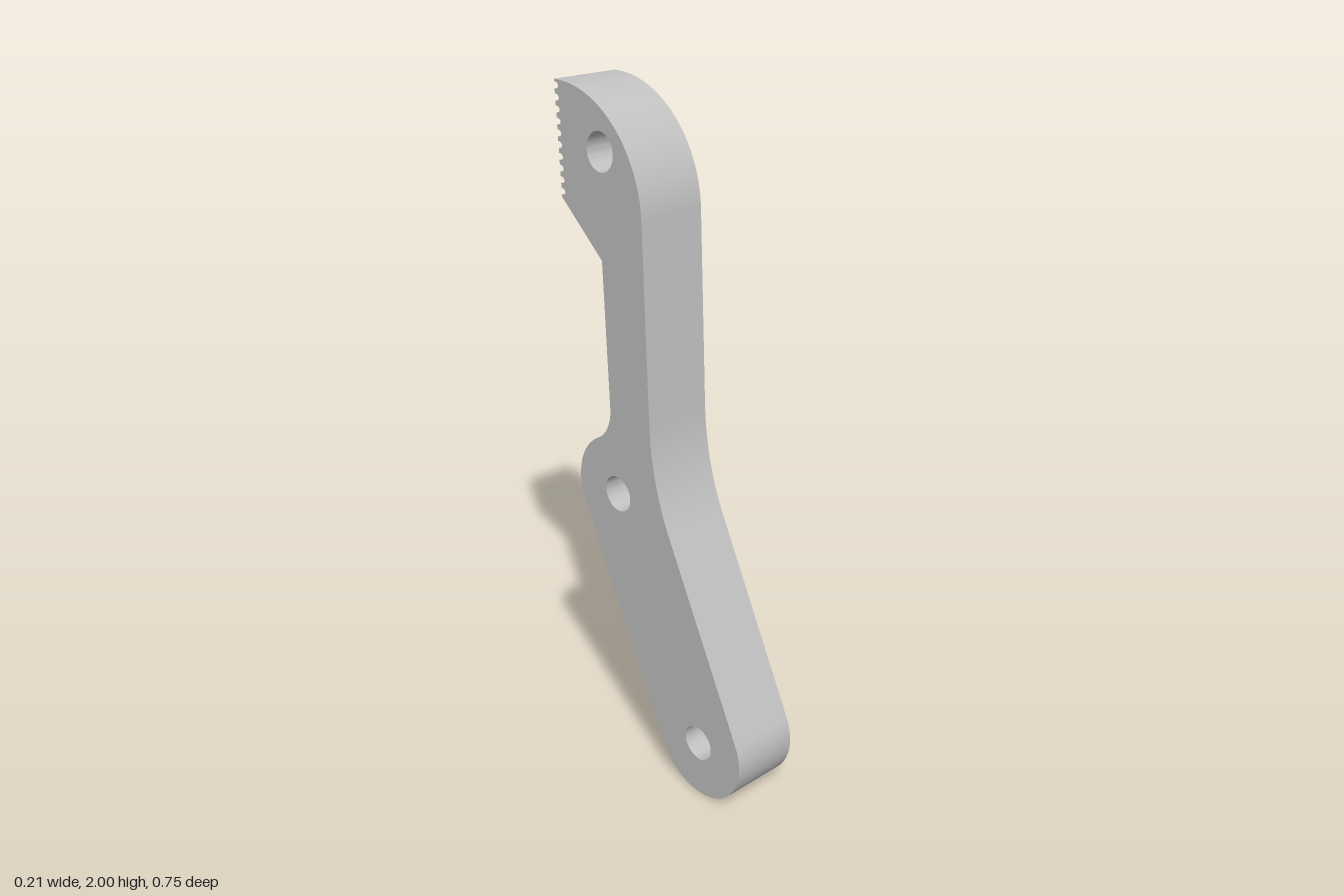
import * as THREE from 'three';
import { toCreasedNormals } from 'three/addons/utils/BufferGeometryUtils.js';

const WIDTH = 0.208;
const rad = THREE.MathUtils.degToRad;

// Side outline: horizontal axis runs towards the back (-z), vertical axis is y
function leverOutline() {
  const s = new THREE.Shape();

  // rounded foot, pivot boss and the fillet above the boss
  s.absarc(-0.203, 0.172, 0.172, rad(153.2), rad(333.2), false);
  s.absarc(0.143, 0.86, 0.172, rad(-26.8), rad(60), false);
  s.absarc(0.288, 1.111, 0.118, rad(240), rad(178), true);

  // neck and underside of the head
  s.lineTo(0.191, 1.544);
  s.lineTo(0.358, 1.687);

  // serrated jaw: round grooves between narrow crests
  const grooves = 10;
  const low = new THREE.Vector2(0.358, 1.687);
  const high = new THREE.Vector2(0.375, 2.0);
  const at = (t) => low.clone().lerp(high, t);
  for (let i = 0; i < grooves; i++) {
    const a = at((i + 0.2) / grooves);
    const m = at((i + 0.5) / grooves);
    const b = at((i + 0.8) / grooves);
    s.lineTo(a.x, a.y);
    s.bezierCurveTo(m.x - 0.021, a.y, m.x - 0.021, b.y, b.x, b.y);
  }
  s.lineTo(high.x, high.y);

  // domed head, straight front and the bend into the lower arm
  s.absarc(0.355, 1.67, 0.33, rad(87), rad(177.3), false);
  s.lineTo(0.003, 1.13);
  s.quadraticCurveTo(-0.005, 0.95, -0.077, 0.807);
  s.closePath();

  // three pin holes
  for (const [x, y] of [[-0.203, 0.174], [0.143, 0.86], [0.19, 1.838]]) {
    const hole = new THREE.Path();
    hole.absarc(x, y, 0.054, 0, Math.PI * 2, true);
    s.holes.push(hole);
  }
  return s;
}

export function createModel() {
  const group = new THREE.Group();
  group.name = 'serratedLever';

  const steel = new THREE.MeshStandardMaterial({ color: 0xc0c0c0 });
  steel.name = 'grey steel';

  const geometry = new THREE.ExtrudeGeometry(leverOutline(), {
    depth: WIDTH, bevelEnabled: false, curveSegments: 24,
  });
  geometry.translate(0, 0, -WIDTH / 2);
  geometry.rotateY(Math.PI / 2);

  const lever = new THREE.Mesh(toCreasedNormals(geometry, 0.5), steel);
  lever.name = 'leverArm';
  group.add(lever);
  return group;
}
